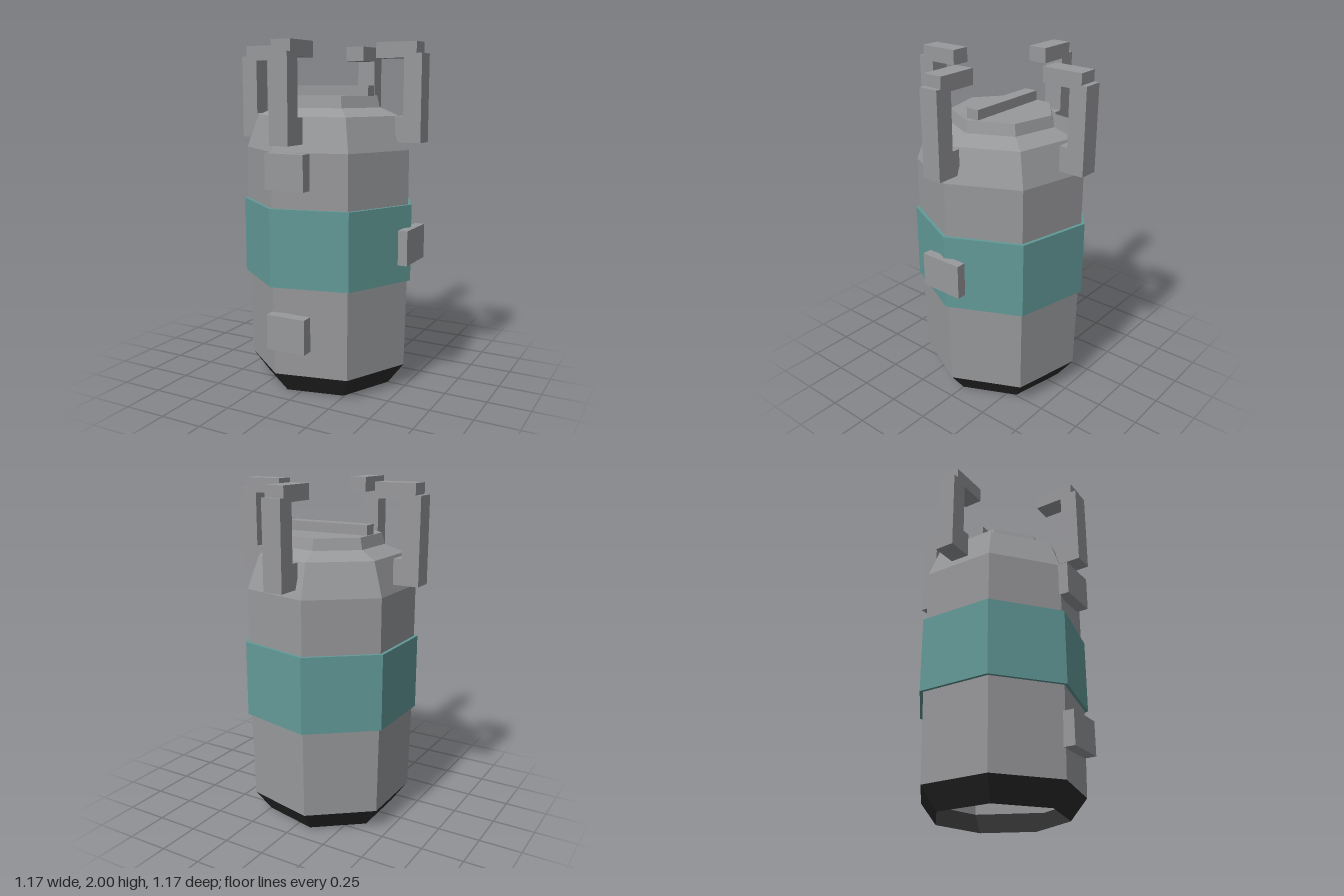
import * as THREE from 'three';

const SIDES = 7;

export function createModel() {
  const group = new THREE.Group();
  const material = (name, color) => new THREE.MeshStandardMaterial({
    name, color, flatShading: true, side: THREE.DoubleSide,
  });
  const grey = material('grey metal', 0x98999b);
  const teal = material('teal band', 0x629a98);
  const black = material('black rubber', 0x2c2c2c);

  const add = (name, geometry, mat) => {
    const mesh = new THREE.Mesh(geometry, mat);
    mesh.name = name;
    group.add(mesh);
    return mesh;
  };
  // Seven-sided ring with one corner pointing to +x
  const ring = (name, profile, mat) => add(name, new THREE.LatheGeometry(
    profile.map(([r, y]) => new THREE.Vector2(r, y)), SIDES, Math.PI / 2), mat);
  // Box from its minimum and maximum corners
  const box = (name, a, b) => add(name, new THREE.BoxGeometry(
    b[0] - a[0], b[1] - a[1], b[2] - a[2]), grey)
    .position.set((a[0] + b[0]) / 2, (a[1] + b[1]) / 2, (a[2] + b[2]) / 2);

  // Canister, open underneath
  ring('baseTaper', [[0.39, 0], [0.488, 0.13]], black);
  ring('body', [[0.488, 0.13], [0.499, 0.65], [0.499, 1.405], [0.428, 1.595],
    [0.315, 1.64], [0.298, 1.705], [0, 1.705]], grey);
  ring('band', [[0.49, 0.65], [0.52, 0.65], [0.52, 1.095], [0.49, 1.095]], teal);

  // Raised plates and the lid bar
  box('lidBar', [-0.26, 1.69, -0.04], [0.26, 1.762, 0.04]);
  box('lowerFrontPlate', [-0.12, 0.3, 0.47], [0.12, 0.5, 0.54]);
  box('upperFrontPlate', [-0.12, 1.205, 0.47], [0.12, 1.405, 0.54]);
  box('sidePlate', [0.495, 0.765, -0.13], [0.55, 0.965, 0.13]);

  // Four hooked handles around the shoulder
  const outline = new THREE.Shape([
    [0.435, 1.45], [0.587, 1.45], [0.587, 1.937], [0.555, 1.937], [0.555, 2],
    [0.315, 2], [0.315, 1.913], [0.483, 1.913], [0.483, 1.595], [0.435, 1.595],
  ].map(([x, y]) => new THREE.Vector2(x, y)));
  const hook = new THREE.ExtrudeGeometry(outline, { depth: 0.116, bevelEnabled: false });
  hook.translate(0, 0, -0.058);
  ['left', 'back', 'right', 'front'].forEach((side, i) => {
    add(side + 'Handle', hook, grey).rotation.y = i * Math.PI / 2;
  });

  return group;
}
